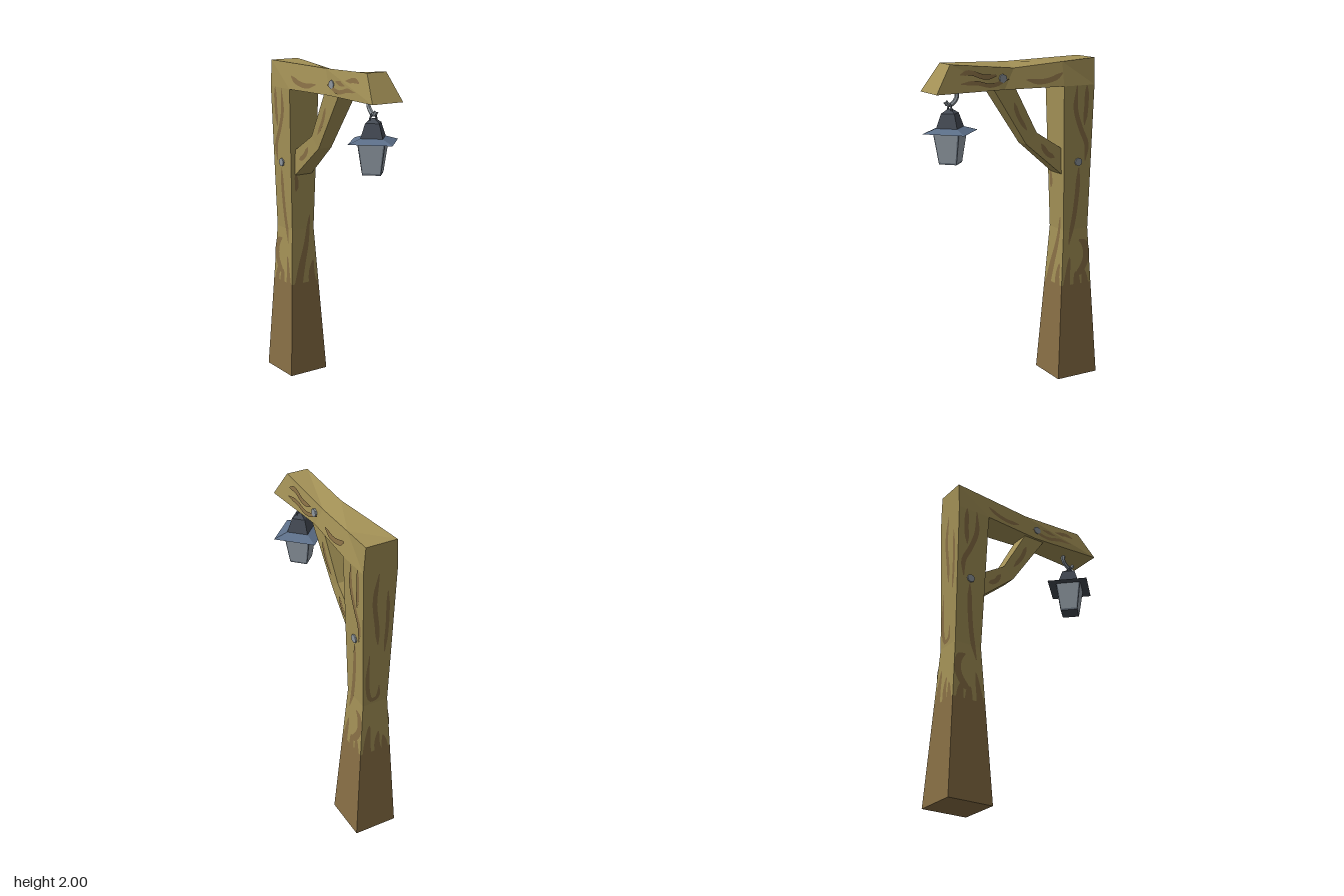
import * as THREE from 'three';

const mat = (name, color, side = THREE.FrontSide) => {
  const m = new THREE.MeshStandardMaterial({ color, side, flatShading: true });
  m.name = name;
  return m;
};

// Non-indexed geometry from triangles of points
function fromTriangles(tris) {
  const g = new THREE.BufferGeometry();
  g.setAttribute('position', new THREE.Float32BufferAttribute(tris.flat(2), 3));
  g.computeVertexNormals();
  return g;
}

// Closed solid through four-cornered sections, turned to face outwards
function loft(sections) {
  const tris = [];
  const quad = (a, b, c, d) => tris.push([a, b, c], [a, c, d]);
  for (let s = 0; s < sections.length - 1; s++) {
    const p = sections[s], q = sections[s + 1];
    for (let i = 0; i < 4; i++) {
      const j = (i + 1) % 4;
      quad(p[i], p[j], q[j], q[i]);
    }
  }
  const last = sections[sections.length - 1];
  quad(...[...sections[0]].reverse());
  quad(...last);
  let volume = 0;
  for (const t of tris) {
    const [a, b, c] = t.map(v => new THREE.Vector3(...v));
    volume += a.dot(b.cross(c));
  }
  if (volume < 0) tris.forEach(t => t.reverse());
  return fromTriangles(tris);
}

// Linear interpolation through [position, value] stops
function lerpStops(stops, t) {
  let i = 0;
  while (i < stops.length - 2 && t > stops[i + 1][0]) i++;
  const [a, va] = stops[i], [b, vb] = stops[i + 1];
  return va + (vb - va) * THREE.MathUtils.clamp((t - a) / (b - a), 0, 1);
}

// Painted stroke: a tapering strip laid on a surface given by place(u, v)
function stroke(points, width, place, startFull = false) {
  const curve = new THREE.CatmullRomCurve3(points.map(([u, v]) => new THREE.Vector3(u, v, 0)));
  const n = 16, rows = [], tris = [];
  for (let i = 0; i <= n; i++) {
    const t = i / n, p = curve.getPoint(t), d = curve.getTangent(t);
    const taper = startFull ? Math.sqrt(1 - t) : Math.min(1, 4 * t + 0.2, 4 * (1 - t) + 0.2);
    const w = width * taper / 2;
    rows.push([place(p.x - d.y * w, p.y + d.x * w), place(p.x + d.y * w, p.y - d.x * w)]);
  }
  for (let i = 0; i < n; i++) {
    const [a, b] = rows[i], [c, d] = rows[i + 1];
    tris.push([a, b, d], [a, d, c]);
  }
  return fromTriangles(tris);
}

export function createModel() {
  const wood = mat('wood', 0xa39156);
  const darkWood = mat('dark wood', 0x886f45, THREE.DoubleSide);
  const steel = mat('blue steel', 0x5d708a);
  const iron = mat('dark iron', 0x454b55);
  const frameMetal = mat('frame metal', 0x6a7480);
  const glass = mat('glass', 0x959fa8, THREE.DoubleSide);
  const boltMetal = mat('bolt metal', 0x8f979e);

  const root = new THREE.Group();
  root.name = 'lanternPost';
  const add = (name, geometry, material, parent = root) => {
    const m = new THREE.Mesh(geometry, material);
    m.name = name;
    parent.add(m);
    return m;
  };

  // Post: half width, back and front by height
  const halfW = [[0, 0.135], [0.95, 0.08], [1.84, 0.105], [2, 0.09]];
  const backZ = [[0, -0.565], [0.95, -0.515], [2, -0.533]];
  const frontZ = [[0, -0.28], [0.95, -0.34], [1.84, -0.315], [2, -0.315]];
  const section = y => {
    const w = lerpStops(halfW, y), b = lerpStops(backZ, y), f = lerpStops(frontZ, y);
    return [[-w, y, b], [w, y, b], [w, y, f], [-w, y, f]];
  };
  const postTop = [[-0.095, 2, -0.533], [0.095, 2, -0.533], [0.079, 1.984, -0.315], [-0.079, 1.996, -0.315]];
  add('postFoot', loft([section(0), section(0.6)]), darkWood);
  add('post', loft([section(0.6), section(0.95), section(1.84), postTop]), wood);

  // Arm: waisted beam with a slanted nose
  const armSection = (zTop, zBottom, wTop, wBottom, yLeft, yRight) => [
    [-wBottom, 1.84, zBottom], [wBottom, 1.84, zBottom], [wTop, yLeft, zTop], [-wTop, yRight, zTop]];
  add('arm', loft([
    armSection(-0.315, -0.315, 0.079, 0.105, 1.984, 1.996),
    armSection(0, 0.07, 0.055, 0.072, 1.96, 1.99),
    armSection(0.415, 0.52, 0.066, 0.105, 2, 2),
  ]), wood);

  // Brace: bent strut between post and arm, narrower underneath
  const braceSection = (zLow, yLow, zHigh, yHigh, wLow, wHigh) => [
    [-wLow, yLow, zLow], [wLow, yLow, zLow], [wHigh, yHigh, zHigh], [-wHigh, yHigh, zHigh]];
  add('brace', loft([
    braceSection(-0.34, 1.295, -0.34, 1.455, 0.062, 0.062),
    braceSection(-0.09, 1.505, -0.16, 1.57, 0.046, 0.05),
    braceSection(0.14, 1.85, -0.005, 1.85, 0.06, 0.06),
  ]), wood);

  // Wood grain strokes
  const eps = 0.003;
  const grain = new THREE.Group();
  grain.name = 'woodGrain';
  root.add(grain);
  const armWidth = (z, y) => THREE.MathUtils.lerp(
    lerpStops([[-0.315, 0.105], [0.07, 0.072], [0.52, 0.105]], z),
    lerpStops([[-0.315, 0.079], [0, 0.055], [0.415, 0.066]], z), (y - 1.84) / 0.15);
  const braceWidth = z => lerpStops([[-0.34, 0.062], [-0.12, 0.049], [0.07, 0.06]], z);

  for (const s of [1, -1]) {
    const onPost = (z, y) => [s * (lerpStops(halfW, y) + eps), y, z];
    const onArm = (z, y) => [s * (armWidth(z, y) + 0.005), y, z];
    const onBrace = (z, y) => [s * (braceWidth(z) + eps), y, z];
    const sideStrokes = [
      [[[-0.375, 0.86], [-0.41, 1.02], [-0.43, 1.2], [-0.435, 1.34]], 0.032, onPost],
      [[[-0.405, 1.84], [-0.4, 1.7], [-0.44, 1.58], [-0.485, 1.48], [-0.48, 1.38]], 0.032, onPost],
      [[[-0.475, 1.84], [-0.475, 1.72], [-0.465, 1.6]], 0.03, onPost],
      [[[-0.45, 0.88], [-0.49, 0.85], [-0.5, 0.76], [-0.455, 0.68], [-0.42, 0.66]], 0.045, onPost],
      [[[0.36, 1.94], [0.3, 1.95], [0.2, 1.92], [0.12, 1.925]], 0.028, onArm],
      [[[0.36, 1.89], [0.26, 1.89], [0.16, 1.87], [0.04, 1.9]], 0.024, onArm],
      [[[-0.07, 1.89], [-0.16, 1.875], [-0.25, 1.89], [-0.31, 1.92]], 0.03, onArm],
      [[[0, 1.76], [-0.03, 1.68], [-0.09, 1.59]], 0.026, onBrace],
      [[[-0.19, 1.5], [-0.23, 1.44], [-0.28, 1.41]], 0.03, onBrace],
    ];
    for (const [pts, w, place] of sideStrokes) add('grainStroke', stroke(pts, w, place), darkWood, grain);
    // Ragged edge of the dark foot
    for (const [z, tip, lean] of [[-0.35, 0.78, -0.03], [-0.43, 0.68, 0.01], [-0.49, 0.7, 0.02]])
      add('footSpike', stroke([[z, 0.58], [z + lean / 3, 0.65], [z + lean, tip]], 0.055, onPost, true), darkWood, grain);
  }

  const onFront = (x, y) => [x, y, lerpStops(frontZ, y) + eps];
  const onBack = (x, y) => [x, y, lerpStops(backZ, y) - eps];
  const endStrokes = [
    [[[-0.055, 0.58], [-0.02, 0.72], [0.02, 0.86], [0.048, 1.04]], 0.06, onFront, true],
    [[[0.055, 0.58], [0.05, 0.66], [0.065, 0.74]], 0.06, onFront, true],
    [[[-0.055, 1.2], [-0.05, 1.25], [-0.06, 1.31]], 0.025, onFront],
    [[[0.01, 1.82], [0.03, 1.65], [0.01, 1.48], [0, 1.36]], 0.028, onBack],
    [[[0.05, 1.3], [0.058, 1.1], [0.03, 0.98], [-0.01, 0.99], [-0.02, 1.07]], 0.026, onBack],
    [[[-0.05, 1.7], [-0.055, 1.5], [-0.045, 1.3]], 0.022, onBack],
    [[[0.06, 0.58], [0.055, 0.68], [0.04, 0.8]], 0.06, onBack, true],
    [[[-0.02, 0.58], [-0.01, 0.66], [-0.02, 0.74]], 0.05, onBack, true],
    [[[-0.065, 0.58], [-0.06, 0.64], [-0.05, 0.7]], 0.05, onBack, true],
  ];
  for (const [pts, w, place, full] of endStrokes) add('grainStroke', stroke(pts, w, place, full), darkWood, grain);

  // Bolt heads on both sides
  for (const s of [1, -1]) {
    for (const [y, z, x] of [[1.905, 0.08, 0.066], [1.375, -0.43, 0.093]]) {
      const bolt = add('bolt', new THREE.CylinderGeometry(0.025, 0.025, 0.016, 8), boltMetal);
      bolt.rotation.z = Math.PI / 2;
      bolt.position.set(s * x, y, z);
    }
  }

  // Lantern: four-sided, corners towards the axes
  const lantern = new THREE.Group();
  lantern.name = 'lantern';
  lantern.position.z = 0.388;
  root.add(lantern);
  const tier = (name, rTop, rBottom, y0, y1, material) => {
    const m = add(name, new THREE.CylinderGeometry(rTop, rBottom, y1 - y0, 4), material, lantern);
    m.position.y = (y0 + y1) / 2;
  };
  tier('lanternFrame', 0.11, 0.074, 1.43, 1.62, [frameMetal, iron, iron]);
  tier('brim', 0.09, 0.177, 1.612, 1.638, [steel, steel, iron]);
  tier('roof', 0.056, 0.09, 1.635, 1.72, iron);
  tier('roofCap', 0.012, 0.056, 1.72, 1.745, iron);

  // Glass panes
  for (let i = 0; i < 4; i++) {
    const corner = (k, r, y) => new THREE.Vector3(Math.sin(k * Math.PI / 2) * r, y, Math.cos(k * Math.PI / 2) * r);
    const a = [corner(i, 0.0785, 1.441), corner(i + 1, 0.0785, 1.441)];
    const b = [corner(i, 0.112, 1.612), corner(i + 1, 0.112, 1.612)];
    const at = ([p, q], t) => p.clone().lerp(q, t).toArray();
    const [p0, p1, p2, p3] = [at(a, 0.07), at(a, 0.93), at(b, 0.93), at(b, 0.07)];
    add('glassPane', fromTriangles([[p0, p1, p2], [p0, p2, p3]]), glass, lantern);
  }

  // Hanging loop and hook
  const loop = add('hangingLoop', new THREE.TorusGeometry(0.024, 0.006, 4, 8, Math.PI), iron, lantern);
  loop.position.y = 1.728;
  loop.scale.y = 1.7;
  const hookPath = new THREE.CatmullRomCurve3([
    [1.79, 0.03], [1.768, 0.012], [1.767, -0.008], [1.79, -0.035], [1.812, -0.046], [1.85, -0.044],
  ].map(([y, z]) => new THREE.Vector3(0, y, z)));
  add('hook', new THREE.TubeGeometry(hookPath, 12, 0.013, 6), boltMetal, lantern);

  return root;
}
